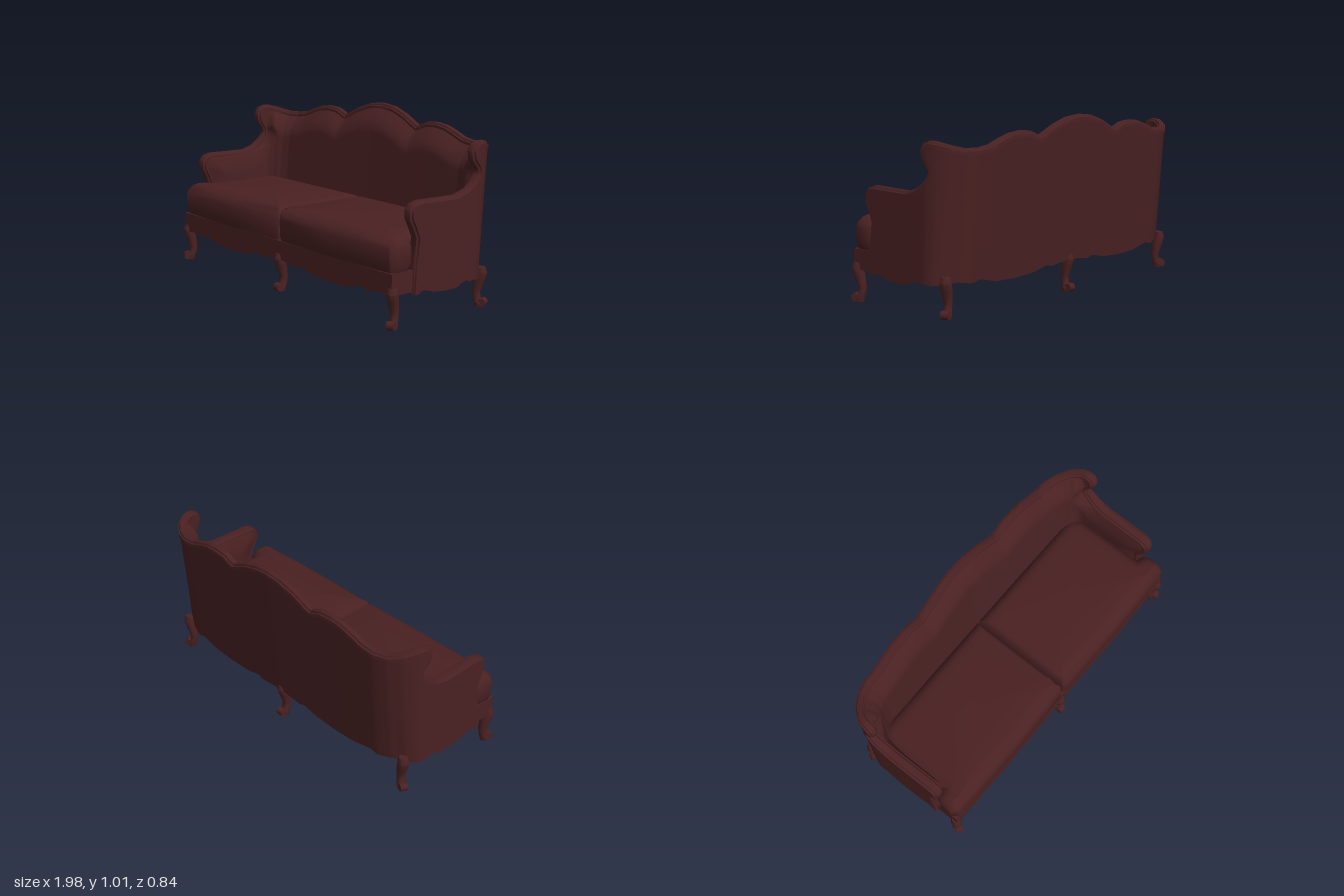
import * as THREE from 'three';
import { mergeVertices, toCreasedNormals } from 'three/addons/utils/BufferGeometryUtils.js';

const upholstery = new THREE.MeshStandardMaterial({ color: 0x4a2122, side: THREE.DoubleSide });
upholstery.name = 'dark maroon';
const { clamp, lerp, smoothstep } = THREE.MathUtils;

// Linear lookup in a table of [key, value, ...] rows
function look(table, k, col = 1) {
  let i = 1;
  while (i < table.length - 1 && table[i][0] < k) i++;
  const a = table[i - 1], b = table[i];
  return lerp(a[col], b[col], clamp((k - a[0]) / (b[0] - a[0]), 0, 1));
}

// Half of the U-shaped wall in plan: distance from the arm, x, z
const plan = [[-0.3, 0.98, 0.3], [0, 0.985, 0], [0.2, 0.985, -0.2], [0.26, 0.97, -0.26], [0.33, 0.93, -0.32],
  [0.42, 0.86, -0.37], [0.5, 0.78, -0.395], [0.78, 0.5, -0.4], [1.28, 0, -0.41]];
// Crest line of the wings and back
const crest = [[0.22, 0.905], [0.26, 0.902], [0.33, 0.885], [0.42, 0.866], [0.5, 0.866], [0.58, 0.876], [0.66, 0.905],
  [0.73, 0.927], [0.81, 0.935], [0.88, 0.928], [0.96, 0.897], [1.0, 0.915], [1.08, 0.953], [1.18, 0.985], [1.28, 0.995]];
// Carved lower edge
const hem = [[-0.3, 0.17], [-0.22, 0.165], [-0.19, 0.185], [-0.12, 0.165], [-0.05, 0.155], [0.05, 0.155], [0.1, 0.18],
  [0.12, 0.185], [0.15, 0.17], [0.17, 0.18], [0.25, 0.17], [0.42, 0.185], [0.5, 0.17], [0.55, 0.185], [0.68, 0.155],
  [0.83, 0.15], [0.98, 0.16], [1.08, 0.185], [1.12, 0.17], [1.18, 0.18], [1.28, 0.19]];
// Front edge of the arm and wing: height, distance
const armEdge = [[0.2, -0.245], [0.35, -0.235], [0.48, -0.215], [0.54, -0.24], [0.58, -0.262], [0.62, -0.262],
  [0.64, -0.245], [0.648, -0.21], [0.649, 0.05], [0.665, 0.13], [0.7, 0.185], [0.74, 0.222], [0.765, 0.228],
  [0.79, 0.215], [0.83, 0.175], [0.87, 0.168], [0.895, 0.185], [0.905, 0.22]];
// Top limit of the padding where the arm rises into the wing
const armTop = [[0.05, 0.65], [0.13, 0.67], [0.2, 0.74], [0.28, 0.89]];

const END = 1.28;
const heightAt = (s, y) => lerp(look(hem, s), look(crest, s), (y - 0.2) / 0.705);

// Inward plan normal
function inward(s) {
  const a = Math.max(s - 0.03, -0.3), b = Math.min(s + 0.03, END);
  const dx = look(plan, b) - look(plan, a), dz = look(plan, b, 2) - look(plan, a, 2);
  return new THREE.Vector3(dz, 0, -dx).normalize();
}

// Point on the wall, with the back leaning
function wallPoint(s, y, depth) {
  const z = look(plan, s, 2);
  const lean = 0.09 * (0.9 - y) * clamp((-z - 0.15) / 0.2, 0, 1);
  return new THREE.Vector3(look(plan, s), y, z + lean).addScaledVector(inward(s), depth);
}

// Grid surface from a point function of two indices
function grid(fn, nu, nv, flip, crease) {
  const pos = [], idx = [];
  for (let j = 0; j <= nv; j++) for (let i = 0; i <= nu; i++) pos.push(...fn(i, j).toArray());
  for (let j = 0; j < nv; j++) for (let i = 0; i < nu; i++) {
    const a = j * (nu + 1) + i, b = a + 1, c = b + nu + 1, d = c - 1;
    idx.push(...(flip ? [a, c, b, a, d, c] : [a, b, c, a, c, d]));
  }
  let g = new THREE.BufferGeometry();
  g.setAttribute('position', new THREE.Float32BufferAttribute(pos, 3));
  g.setIndex(idx);
  g = mergeVertices(g, 1e-5);
  g.computeVertexNormals();
  return crease ? toCreasedNormals(g, crease) : g;
}

// Edge rows, subdivided for a smooth padded surface
const rows = [];
armEdge.forEach((p, i) => {
  const q = armEdge[i + 1];
  if (!q) return rows.push(p);
  for (let k = 0; k < 3; k++) rows.push([lerp(p[0], q[0], k / 3), lerp(p[1], q[1], k / 3)]);
});
const COLS = 72, S0 = -0.262;

function wall(side, inner) {
  return grid((i, j) => {
    const [y0, edge] = rows[j];
    const s = Math.max(lerp(S0, END, i / COLS), edge);
    let y = heightAt(s, y0), depth = 0;
    if (inner) {
      const k = smoothstep(s, 0, 0.35);
      const top = s < 0.28 ? look(armTop, s) : look(crest, s);
      const d = clamp(Math.min((s - edge) / 0.12, (top - y) / 0.14), 0, 1);
      depth = lerp(0.058, 0.035, k) + lerp(0.03, 0.075, k) * Math.sin(d * Math.PI / 2);
      y = Math.max(y, 0.26);
    }
    const p = wallPoint(s, y, depth);
    p.x *= side;
    return p;
  }, COLS, rows.length - 1, inner !== (side < 0));
}

// Moulded rim along the arm, wing and crest, tapering at its foot
const rimPath = armEdge.map(([y, s]) => [s, heightAt(s, y)]);
for (let s = 0.24; s < END + 0.001; s += 0.02) rimPath.push([Math.min(s, END), look(crest, s)]);
const rimProfile = [[-1, -1], [-1, 0.1], [-0.72, 0.25], [-0.55, 0.85], [0, 1], [0.55, 0.85], [0.72, 0.25], [1, 0.1], [1, -1]];

function rim(side) {
  const half = rimPath.map(([s]) => lerp(0.035, 0.025, smoothstep(s, 0, 0.35)));
  const centre = rimPath.map(([s, y], i) => wallPoint(s, y, half[i] * 0.85));
  const last = centre.length - 1;
  return grid((i, j) => {
    const [s, y] = rimPath[i], n = inward(s);
    const t = i === last ? new THREE.Vector3(-1, 0, 0)
      : centre[i + 1].clone().sub(centre[Math.max(i - 1, 0)]).normalize();
    const b = t.cross(n).normalize();
    const [u, v] = rimProfile[j];
    const taper = lerp(0.35, 1, smoothstep(y, 0.18, 0.5));
    const p = centre[i].clone().addScaledVector(n, u * half[i]).addScaledVector(b, v * 0.018 * taper);
    p.x *= side;
    return p;
  }, last, rimProfile.length - 1, side < 0, 0.7);
}

// T-shaped seat cushion, hollow underneath: outline x, z, inset direction x, z
const cushionOutline = [[0.006, -0.25, 1, 1], [0.45, -0.25, 0, 1], [0.84, -0.25, -0.4, 1], [0.885, -0.22, -1, 0.7],
  [0.9, -0.17, -1, 0.2], [0.905, 0.23, -1, 1], [0.95, 0.245, -0.6, 1], [0.97, 0.28, -1, 0.3], [0.972, 0.355, -1, -0.3],
  [0.945, 0.39, -0.6, -1], [0.7, 0.4, 0, -1], [0.45, 0.403, 0, -1], [0.03, 0.397, -0.1, -1], [0.006, 0.38, 1, -0.4]];
// Inset and height of each ring
const cushionRings = [[0.05, 0.291], [0.012, 0.294], [0, 0.33], [0, 0.42], [0.012, 0.445], [0.035, 0.47], [0.06, 0.48], [0.1, 0.485]];

function cushion(side) {
  const n = cushionOutline.length;
  return grid((i, j) => {
    if (j === cushionRings.length) return new THREE.Vector3(side * 0.47, 0.486, 0.08);
    const [x, z, dx, dz] = cushionOutline[i % n];
    const [inset, y] = cushionRings[j];
    const across = x < 0.02 ? 0.4 : 1;
    return new THREE.Vector3(side * (x + dx * inset * across), y, z + dz * inset);
  }, n, cushionRings.length, side > 0, 0.75);
}

// Front rail with the carved hem
function apron() {
  const shape = new THREE.Shape();
  shape.moveTo(-0.965, 0.295);
  for (let i = 0; i <= 100; i++) {
    const x = lerp(-0.965, 0.965, i / 100);
    shape.lineTo(x, look(hem, END - Math.abs(x)));
  }
  shape.lineTo(0.965, 0.295);
  return new THREE.ExtrudeGeometry(shape, { depth: 0.02, bevelEnabled: false }).translate(0, 0, 0.37);
}

// Curved leg: height, outward shift, radius
const legRings = [[0.22, 0, 0.001], [0.22, 0, 0.026], [0.19, 0.004, 0.034], [0.14, -0.01, 0.032], [0.08, -0.025, 0.024],
  [0.045, -0.02, 0.024], [0.02, -0.008, 0.028], [0, -0.008, 0.024], [0, -0.008, 0.001]];
function leg() {
  const group = new THREE.Group();
  add(group, 'legShaft', grid((i, j) => {
    const [y, out, r] = legRings[j], a = i / 8 * Math.PI * 2;
    return new THREE.Vector3(Math.cos(a) * r, y, out + Math.sin(a) * r);
  }, 8, legRings.length - 1, false, 0.9));
  add(group, 'footScroll', new THREE.CylinderGeometry(0.024, 0.024, 0.042, 10).rotateZ(Math.PI / 2).translate(0, 0.024, 0.014));
  return group;
}

function add(parent, name, geometry) {
  const m = new THREE.Mesh(geometry, upholstery);
  m.name = name;
  parent.add(m);
  return m;
}

export function createModel() {
  const sofa = new THREE.Group();
  sofa.name = 'sofa';
  for (const side of [1, -1]) {
    const label = side > 0 ? 'left' : 'right';
    add(sofa, label + 'OuterShell', wall(side, false));
    add(sofa, label + 'InnerPadding', wall(side, true));
    add(sofa, label + 'Rim', rim(side));
    add(sofa, label + 'SeatCushion', cushion(side));
    add(sofa, label + 'ApronReturn', new THREE.BoxGeometry(0.02, 0.115, 0.15)).position.set(side * 0.955, 0.2375, 0.31);
  }
  add(sofa, 'frontApron', apron());
  add(sofa, 'seatRail', new THREE.BoxGeometry(1.89, 0.01, 0.17)).position.set(0, 0.288, 0.295);

  // Legs: x, z, outward direction
  for (const [x, z, dx, dz] of [[0.952, 0.372, 0.4, 0.9], [-0.952, 0.372, -0.4, 0.9], [0, 0.375, 0, 1],
    [0.93, -0.285, 0.9, -0.4], [-0.93, -0.285, -0.9, -0.4], [0, -0.325, 0, -1]]) {
    const l = leg();
    l.name = (z > 0 ? 'front' : 'back') + (x > 0 ? 'Left' : x < 0 ? 'Right' : 'Centre') + 'Leg';
    l.position.set(x, 0, z);
    l.rotation.y = Math.atan2(dx, dz);
    sofa.add(l);
  }
  return sofa;
}
